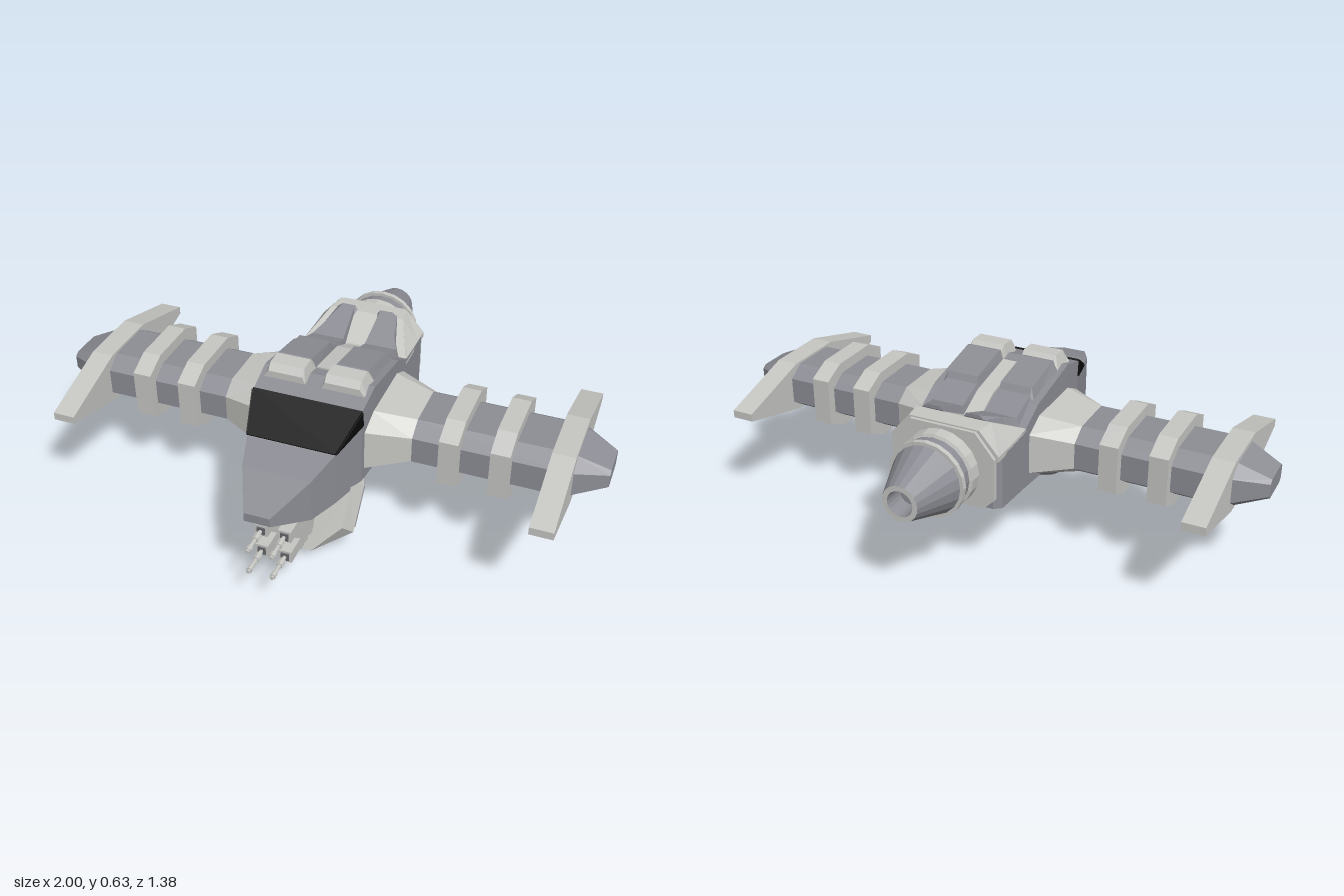
import * as THREE from 'three';

const mat = (name, color) => { const m = new THREE.MeshStandardMaterial({ color }); m.name = name; return m; };

export function createModel() {
  const model = new THREE.Group();
  model.name = 'gunship';
  const light = mat('light grey', 0xc6c6c3), grey = mat('steel grey', 0x8d8e95),
    dark = mat('dark grey', 0x66676c), black = mat('glass black', 0x0a0a0a);

  // Adds a faceted mesh
  const add = (name, geo, material) => {
    const g = geo.index ? geo.toNonIndexed() : geo;
    g.computeVertexNormals();
    const m = new THREE.Mesh(g, material);
    m.name = name;
    model.add(m);
    return m;
  };

  // Skins rings of points, caps both ends and turns all faces outward
  const loft = (rings) => {
    const tris = [], n = rings[0].length, last = rings[rings.length - 1];
    for (let i = 0; i < rings.length - 1; i++) for (let j = 0; j < n; j++) {
      const a = rings[i][j], b = rings[i][(j + 1) % n], c = rings[i + 1][(j + 1) % n], d = rings[i + 1][j];
      tris.push([a, b, c], [a, c, d]);
    }
    for (let j = 1; j < n - 1; j++) tris.push([rings[0][0], rings[0][j + 1], rings[0][j]], [last[0], last[j], last[j + 1]]);
    const v = (p) => new THREE.Vector3(...p);
    const volume = tris.reduce((s, [a, b, c]) => s + v(a).dot(v(b).cross(v(c))), 0);
    if (volume < 0) tris.forEach((t) => t.reverse());
    const g = new THREE.BufferGeometry();
    g.setAttribute('position', new THREE.Float32BufferAttribute(tris.flat(2), 3));
    return g;
  };

  // Thin plate lying on a flat polygon, shrunk towards its centre
  const panel = (name, pts, material, shrink = 1) => {
    const p = pts.map((q) => new THREE.Vector3(...q));
    const c = p.reduce((s, q) => s.add(q), new THREE.Vector3()).divideScalar(p.length);
    const n = p[1].clone().sub(p[0]).cross(p[2].clone().sub(p[0])).normalize();
    const shift = (d) => p.map((q) => q.clone().sub(c).multiplyScalar(shrink).add(c).addScaledVector(n, d).toArray());
    add(name, loft([shift(-0.004), shift(0.005)]), material);
  };
  const box = (name, x0, x1, y0, y1, z0, z1, material) => {
    const g = new THREE.BoxGeometry(x1 - x0, y1 - y0, z1 - z0);
    g.translate((x0 + x1) / 2, (y0 + y1) / 2, (z0 + z1) / 2);
    return add(name, g, material);
  };

  // Hull: z, half width, bottom, top
  const hull = [[0.69, 0.045, 0.365, 0.397], [0.53, 0.12, 0.29, 0.447], [0.41, 0.155, 0.275, 0.475],
    [0.26, 0.195, 0.268, 0.56], [0.15, 0.2, 0.26, 0.592], [-0.1, 0.2, 0.26, 0.545],
    [-0.2, 0.2, 0.27, 0.492], [-0.37, 0.2, 0.283, 0.488], [-0.4, 0.18, 0.29, 0.485]];
  add('hull', loft(hull.map(([z, w, b, t]) => [[w, b, z], [w, t, z], [-w, t, z], [-w, b, z]])), grey);

  // Rear housing above the engine bulkhead
  const housing = [[-0.19, 0.495, 0.198], [-0.33, 0.57, 0.14], [-0.4, 0.57, 0.13]];
  add('rearHousing', loft(housing.map(([z, t, w]) =>
    [[0.2, 0.47, z], [0.2, 0.49, z], [w, t, z], [-w, t, z], [-0.2, 0.49, z], [-0.2, 0.47, z]])), light);
  add('engineBulkhead', loft([-0.395, -0.412].map((z) =>
    [[0.15, 0.29, z], [0.19, 0.33, z], [0.19, 0.48, z], [0.12, 0.565, z],
      [-0.12, 0.565, z], [-0.19, 0.48, z], [-0.19, 0.33, z], [-0.15, 0.29, z]])), light);

  // Cockpit glass
  panel('windshield', [[0.156, 0.478, 0.408], [0.196, 0.562, 0.26], [-0.196, 0.562, 0.26], [-0.156, 0.478, 0.408]], black);
  for (const s of [1, -1])
    panel('sideWindow', [[s * 0.157, 0.477, 0.405], [s * 0.196, 0.56, 0.262], [s * 0.196, 0.503, 0.255]], black);

  // Roof spine and twin roof pods with raised tails
  add('roofSpine', loft([[0.1, 0.588], [-0.1, 0.553], [-0.2, 0.505], [-0.34, 0.5]].map(([z, t]) =>
    [[0.03, t - 0.04, z], [0.03, t, z], [-0.03, t, z], [-0.03, t - 0.04, z]])), light);
  const podRing = (s, [z, t, b, x0, x1]) =>
    [[s * x0, b, z], [s * (x0 + 0.01), t, z], [s * (x1 - 0.018), t, z], [s * x1, b, z]];
  const podFront = [[0.125, 0.612, 0.585, 0.035, 0.18], [0.1, 0.618, 0.58, 0.035, 0.18], [-0.07, 0.587, 0.535, 0.035, 0.18], [-0.085, 0.56, 0.53, 0.035, 0.18]];
  const podTail = [[-0.08, 0.565, 0.53, 0.032, 0.18], [-0.19, 0.527, 0.47, 0.032, 0.18], [-0.24, 0.548, 0.48, 0.035, 0.155], [-0.335, 0.588, 0.575, 0.04, 0.115]];
  for (const s of [1, -1]) {
    add('roofPod', loft(podFront.map((r) => podRing(s, r))), grey);
    add('roofPodTail', loft(podTail.map((r) => podRing(s, r))), grey);
    add('roofHatch', loft([[0.205, 0.605, 0.58], [0.185, 0.628, 0.58], [0.125, 0.63, 0.58], [0.105, 0.61, 0.58]].map(([z, t, b]) =>
      podRing(s, [z, t, b, 0.03, 0.182]))), light);
  }

  // Wings: eight-sided sections across x
  const oct = (x, z0, z1, y0, y1, cz, cy) => [[x, y0, z0 + cz], [x, y0 + cy, z0], [x, y1 - cy, z0], [x, y1, z0 + cz],
    [x, y1, z1 - cz], [x, y1 - cy, z1], [x, y0 + cy, z1], [x, y0, z1 - cz]];
  for (const s of [1, -1]) {
    const tube = (x) => oct(s * x, -0.115, 0.18, 0.3, 0.475, 0.06, 0.04);
    add('wingRoot', loft([oct(s * 0.19, -0.17, 0.24, 0.27, 0.5, 0.08, 0.04), tube(0.345)]), light);
    add('wingTube', loft([tube(0.34), tube(0.87)]), grey);
    add('wingTip', loft([tube(0.87), oct(s * 1, -0.04, 0.105, 0.35, 0.42, 0.015, 0.012)]), grey);
    for (const x of [0.447, 0.622])
      add('wingRing', loft([x, x + 0.067].map((q) => oct(s * q, -0.15, 0.215, 0.262, 0.515, 0.085, 0.04))), light);
    // Long tapered blade at the wing end
    add('wingBlade', loft([0.81, 0.89].map((x) =>
      [[0.4, 0.44], [0.483, 0.15], [0.483, -0.08], [0.4, -0.37], [0.372, -0.37], [0.297, -0.08], [0.297, 0.15], [0.372, 0.44]]
        .map(([y, z]) => [s * x, y, z]))), light);
  }

  // Engine turned around the z axis: radius, distance aft
  const turn = (name, pts, material) => {
    const g = new THREE.LatheGeometry(pts.map(([r, d]) => new THREE.Vector2(r, d)), 20);
    g.rotateX(-Math.PI / 2);
    g.translate(0, 0.418, 0);
    add(name, g, material);
  };
  turn('engineCollar', [[0, 0.4], [0.125, 0.4], [0.125, 0.412], [0.138, 0.417], [0.138, 0.46], [0.126, 0.465], [0, 0.465]], light);
  turn('engineBarrel', [[0.127, 0.46], [0.127, 0.51]], grey);
  turn('engineRing', [[0.12, 0.506], [0.138, 0.506], [0.138, 0.524], [0.12, 0.524]], light);
  turn('exhaustCone', [[0.127, 0.52], [0.064, 0.69]], grey);
  turn('exhaustLip', [[0.064, 0.69], [0.046, 0.69]], light);
  turn('exhaustBore', [[0.046, 0.69], [0.04, 0.62], [0, 0.62]], grey);

  // Chin pod: front, widest and rear rings
  const half = [
    [[0.18, 0.285, 0.32], [0.168, 0.14, 0.372], [0.07, 0.04, 0.412]],
    [[0.215, 0.275, 0.285], [0.195, 0.1, 0.335], [0.06, 0, 0.362]],
    [[0.165, 0.25, 0.14], [0.145, 0.15, 0.185], [0.05, 0.07, 0.22]]];
  const mirror = (p) => [-p[0], p[1], p[2]];
  add('chinPod', loft(half.map((h) => [...h, ...h.map(mirror).reverse()])), light);
  const [, mid, rear] = half;
  const quads = [[mid[0], mid[1], rear[1], rear[0]], [mid[1], mid[2], rear[2], rear[1]]];
  for (const q of quads) {
    panel('chinPodPanel', q, grey, 0.86);
    panel('chinPodPanel', q.map(mirror), grey, 0.86);
  }
  panel('chinPodKeel', [mid[2], mirror(mid[2]), mirror(rear[2]), rear[2]], grey, 0.86);
  panel('chinPodBack', [rear[0], rear[2], mirror(rear[2]), mirror(rear[0])], grey, 0.82);

  // Four-barrelled gun
  box('gunMount', -0.065, 0.065, 0.12, 0.252, 0.3, 0.4, light);
  box('gunCore', -0.06, 0.06, 0.127, 0.245, 0.39, 0.5, light);
  for (const z of [0.41, 0.45, 0.485]) box('gunRib', -0.068, 0.068, 0.117, 0.256, z - 0.012, z + 0.012, light);
  for (const x of [-0.042, 0.042]) for (const y of [0.143, 0.23]) {
    box('barrelBlock', x - 0.023, x + 0.023, y - 0.022, y + 0.022, 0.48, 0.575, light);
    box('barrelSocket', x - 0.014, x + 0.014, y - 0.014, y + 0.014, 0.57, 0.58, dark);
    for (const [r, z0, z1] of [[0.007, 0.57, 0.688], [0.012, 0.595, 0.625], [0.011, 0.66, 0.68]]) {
      const g = new THREE.CylinderGeometry(r, r, z1 - z0, 8);
      g.rotateX(Math.PI / 2);
      g.translate(x, y, (z0 + z1) / 2);
      add('gunBarrel', g, light);
    }
  }

  // Belly plates and cross beam
  box('bellyFrame', -0.18, 0.18, 0.25, 0.28, -0.06, 0.14, light);
  box('bellyBeam', -0.2, 0.2, 0.245, 0.27, 0.0, 0.07, grey);
  for (const s of [1, -1])
    panel('bellyPanel', [[s * 0.03, 0.269, -0.17], [s * 0.17, 0.269, -0.17], [s * 0.16, 0.281, -0.35], [s * 0.03, 0.281, -0.35]], dark);
  panel('bellyKeel', [[0.022, 0.262, -0.06], [0.022, 0.281, -0.37], [-0.022, 0.281, -0.37], [-0.022, 0.262, -0.06]], light);
  return model;
}
